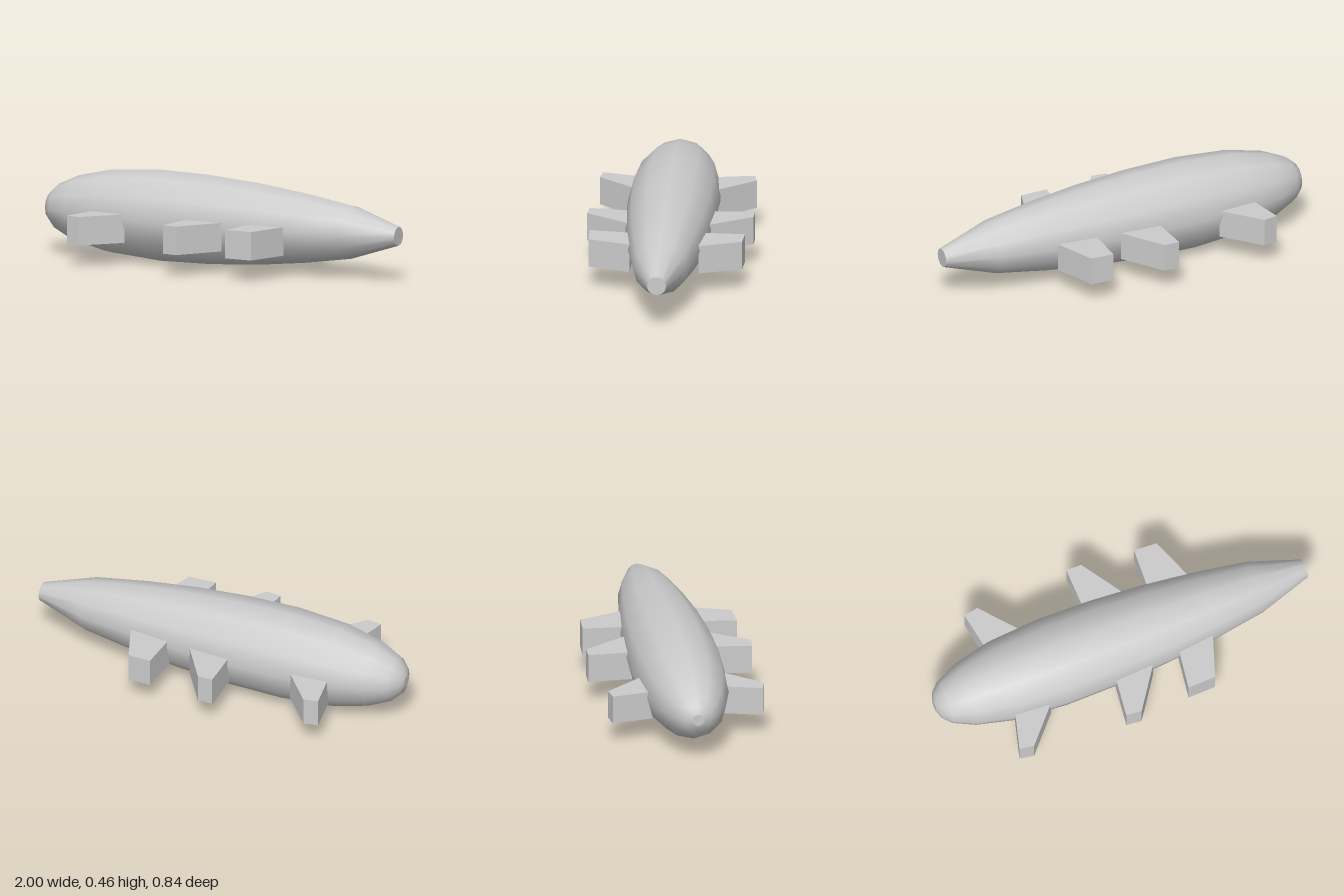
import * as THREE from 'three';

const AXIS_Y = 0.233;
const FIN_TOP = 0.26, FIN_HEIGHT = 0.145;

// Hull profile from blunt end to tapered end: [x, radius]
const PROFILE = [
  [-1, 0.03], [-0.985, 0.07], [-0.94, 0.115], [-0.83, 0.166], [-0.64, 0.211], [-0.36, 0.232],
  [-0.08, 0.227], [0.2, 0.208], [0.46, 0.178], [0.73, 0.136], [1, 0.048],
];

// Fin outlines in plan: [x, z] for outer rear, outer front, root front, root rear
const FINS = {
  aftFinRight: [[-0.69, 0.38], [-0.615, 0.392], [-0.452, 0.21], [-0.635, 0.18]],
  aftFinLeft: [[-0.685, -0.385], [-0.61, -0.398], [-0.452, -0.21], [-0.65, -0.18]],
  middleFinRight: [[-0.125, 0.41], [-0.045, 0.418], [0.1, 0.207], [-0.1, 0.2]],
  middleFinLeft: [[-0.12, -0.422], [-0.04, -0.42], [0.1, -0.207], [-0.115, -0.2]],
  foreFinRight: [[0.22, 0.388], [0.365, 0.384], [0.437, 0.172], [0.25, 0.172]],
  foreFinLeft: [[0.235, -0.395], [0.355, -0.388], [0.437, -0.175], [0.225, -0.175]],
};

export function createModel() {
  const model = new THREE.Group();
  const smooth = new THREE.MeshStandardMaterial({ color: 0xcccccc });
  const flat = new THREE.MeshStandardMaterial({ color: 0xcccccc, flatShading: true });

  const add = (name, geometry, material) => {
    const mesh = new THREE.Mesh(geometry, material);
    mesh.name = name;
    model.add(mesh);
    return mesh;
  };

  // Twelve-sided hull lying along x
  const points = PROFILE.map(([x, r]) => new THREE.Vector2(r, x));
  const hull = new THREE.LatheGeometry(points, 12);
  hull.rotateZ(-Math.PI / 2).translate(0, AXIS_Y, 0);
  add('hull', hull, smooth);

  // Flat discs closing both ends
  for (const [name, side, r] of [['bluntEndCap', -1, 0.03], ['taperedEndCap', 1, 0.048]]) {
    const cap = new THREE.CircleGeometry(r, 12);
    cap.rotateY(side * Math.PI / 2).translate(side, AXIS_Y, 0);
    add(name, cap, flat);
  }

  // Six thick side fins, extruded vertically from their plan outlines
  for (const [name, outline] of Object.entries(FINS)) {
    const shape = new THREE.Shape(outline.map(([x, z]) => new THREE.Vector2(x, z)));
    const fin = new THREE.ExtrudeGeometry(shape, { depth: FIN_HEIGHT, bevelEnabled: false });
    fin.rotateX(Math.PI / 2).translate(0, FIN_TOP, 0);
    add(name, fin, flat);
  }

  return model;
}
